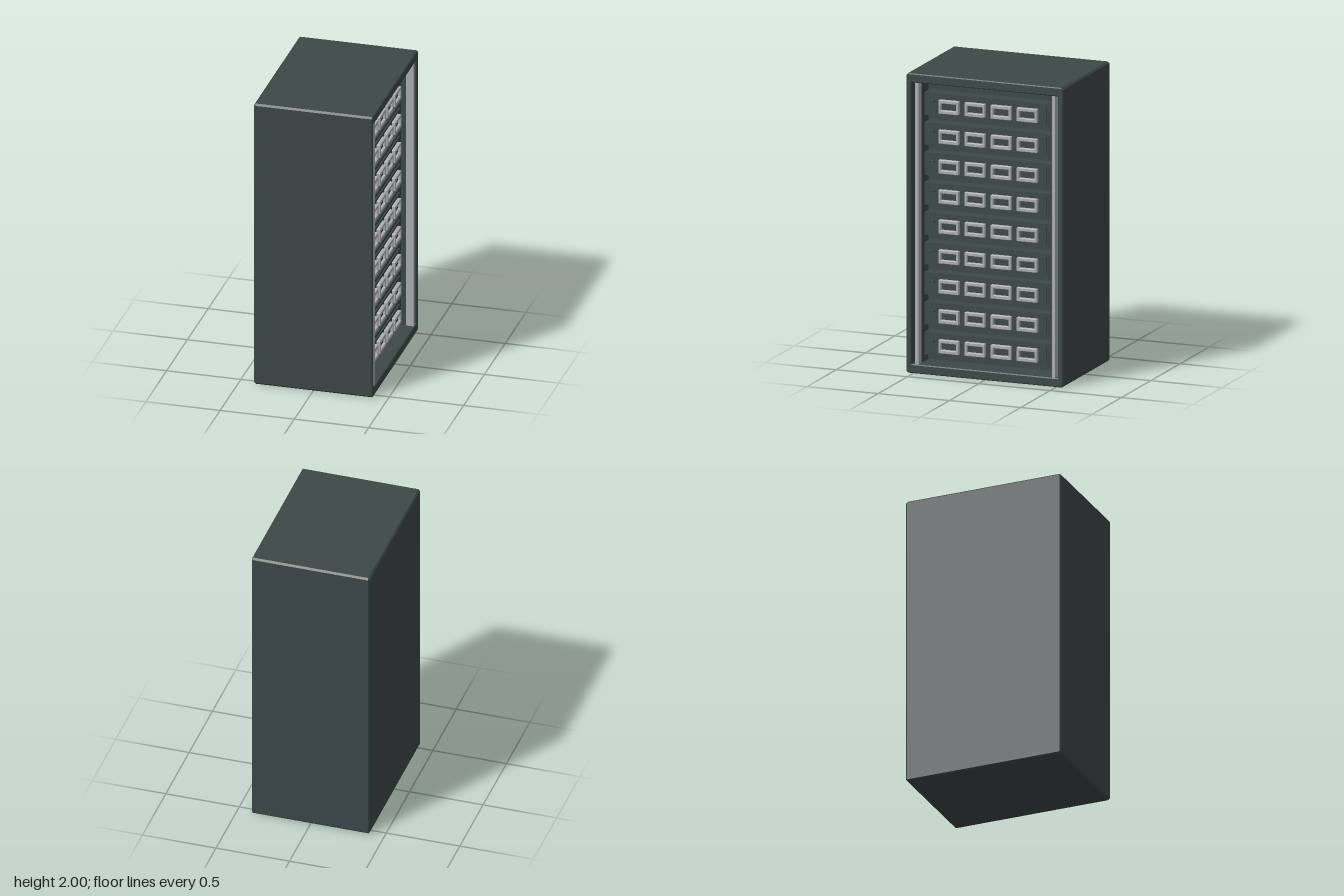
import * as THREE from 'three';

const body = new THREE.MeshStandardMaterial({ color: 0x3c4847 });
body.name = 'dark slate';
const metal = new THREE.MeshStandardMaterial({ color: 0xadb0b2 });
metal.name = 'light grey metal';

function add(parent, name, geometry, material) {
  const mesh = new THREE.Mesh(geometry, material);
  mesh.name = name;
  parent.add(mesh);
  return mesh;
}

// Box given by its limits on each axis
function block(parent, name, material, [x0, x1], [y0, y1], [z0, z1]) {
  const mesh = add(parent, name, new THREE.BoxGeometry(x1 - x0, y1 - y0, z1 - z0), material);
  mesh.position.set((x0 + x1) / 2, (y0 + y1) / 2, (z0 + z1) / 2);
  return mesh;
}

// Rectangle centred on the origin, with cut corners
function outline(w, h, cut, Type = THREE.Shape) {
  const a = w / 2, b = h / 2, c = cut;
  return new Type([[-a + c, -b], [a - c, -b], [a, -b + c], [a, b - c], [a - c, b], [-a + c, b], [-a, b - c], [-a, -b + c]]
    .map(([x, y]) => new THREE.Vector2(x, y)));
}

// Extrudes a shape along x from x0 to x1, with chamfered edges
function extrudeX(shape, x0, x1, bevel) {
  const geometry = new THREE.ExtrudeGeometry(shape, {
    depth: x1 - x0 - 2 * bevel, bevelEnabled: true, bevelSegments: 1,
    bevelSize: bevel, bevelThickness: bevel, bevelOffset: -bevel,
  });
  return geometry.rotateY(Math.PI / 2).translate(x0 + bevel, 0, 0);
}

export function createModel() {
  const model = new THREE.Group();
  model.name = 'serverCabinet';

  // Closed cabinet body and the rim around the open +x side
  add(model, 'cabinetBody', extrudeX(outline(1.1, 2, 0.012), -0.4, 0.22, 0.01), body).position.y = 1;
  const rim = outline(1.1, 2, 0.012);
  rim.holes.push(outline(1.03, 1.88, 0.002, THREE.Path));
  add(model, 'cabinetRim', extrudeX(rim, 0.18, 0.4, 0.006), body).position.y = 1;

  // Upright mounting rails with a dark strip behind each
  for (const side of [-1, 1]) {
    const name = side > 0 ? 'front' : 'rear';
    const rail = block(model, name + 'Rail', metal, [0.34, 0.393], [0.055, 1.94], [-0.011, 0.011]);
    rail.position.z = side * 0.479;
    const post = block(model, name + 'Post', body, [0.21, 0.34], [0.055, 1.94], [-0.02, 0.02]);
    post.position.z = side * 0.488;
  }

  // Raised frame around each drive bay
  const frameShape = outline(0.142, 0.092, 0.003);
  frameShape.holes.push(outline(0.108, 0.046, 0.002, THREE.Path));
  const frameGeometry = extrudeX(frameShape, 0.315, 0.345, 0.003);

  // Nine stacked server units
  for (let i = 0; i < 9; i++) {
    const unit = new THREE.Group();
    unit.name = 'serverUnit' + (i + 1);
    unit.position.y = 0.18 + i * 0.2;
    model.add(unit);
    block(unit, 'unitCase', body, [0.21, 0.31], [-0.07, 0.08], [-0.46, 0.46]);
    block(unit, 'unitFace', body, [0.31, 0.32], [-0.058, 0.062], [-0.4, 0.435]);
    block(unit, 'unitHandle', body, [0.32, 0.345], [0.024, 0.036], [0.38, 0.44]);
    for (let j = 0; j < 4; j++) {
      const bay = new THREE.Group();
      bay.name = 'driveBay' + (j + 1);
      bay.position.z = 0.277 - j * 0.183;
      unit.add(bay);
      add(bay, 'bayFrame', frameGeometry, metal);
      block(bay, 'bayDoor', body, [0.32, 0.328], [-0.02, 0.02], [-0.05, 0.05]);
    }
  }
  return model;
}
